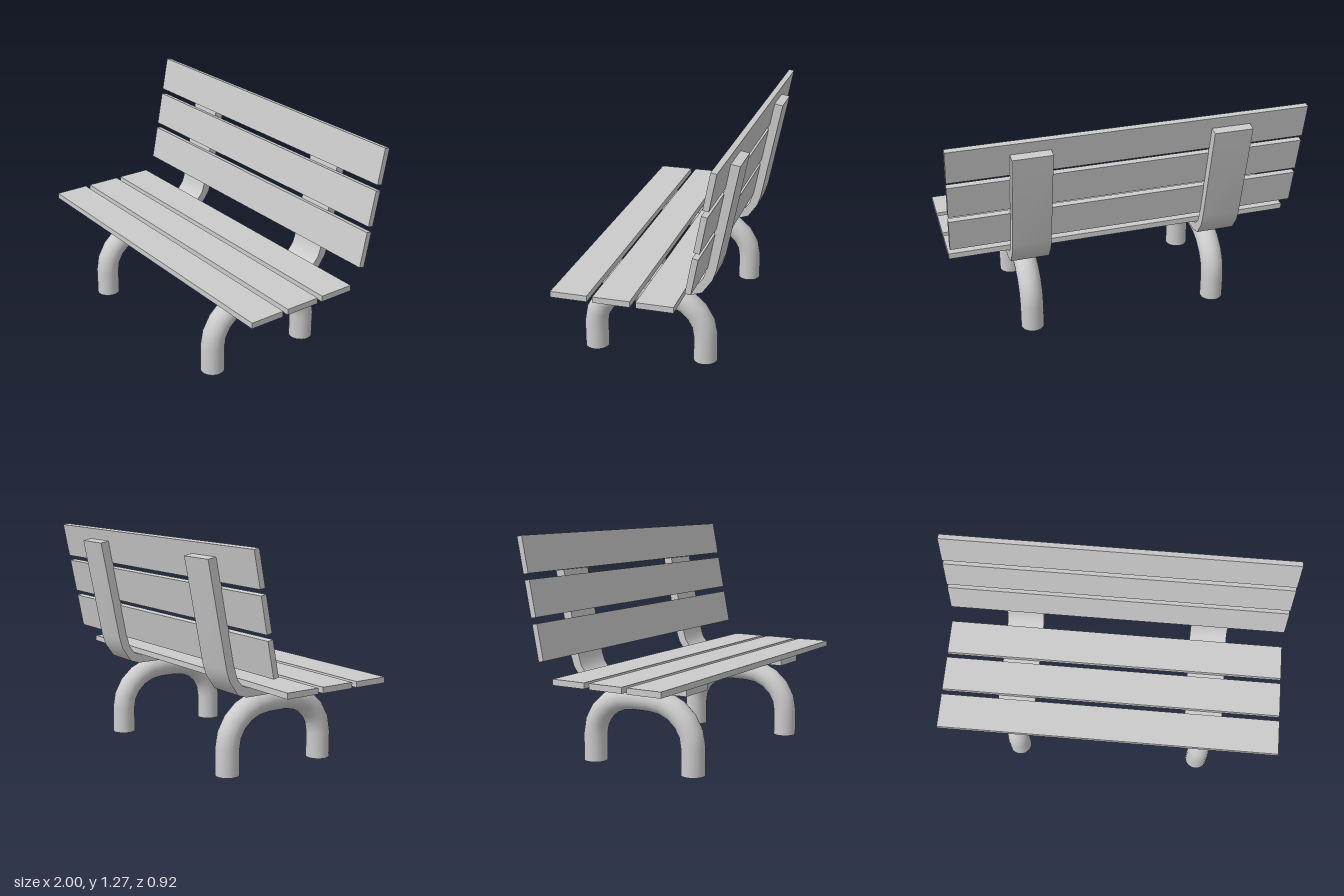
import * as THREE from 'three';
import { toCreasedNormals } from 'three/addons/utils/BufferGeometryUtils.js';

const LEAN = 0.193; // backward tilt of the backrest
const SIDE_X = 0.555; // distance of the supports from the centre
const TUBE_R = 0.067;
const material = new THREE.MeshStandardMaterial({ color: 0xcccccc });

// Path through straight segments, with rings placed exactly on its points
class Polyline extends THREE.Curve {
  constructor(points) {
    super();
    this.points = points;
  }
  getPoint(t) {
    const p = this.points;
    const f = t * (p.length - 1);
    const i = Math.min(Math.floor(f), p.length - 2);
    return p[i].clone().lerp(p[i + 1], f - i);
  }
  getPointAt(u) {
    return this.getPoint(u);
  }
  getTangentAt(u) {
    return this.getTangent(u);
  }
}

function addMesh(parent, name, geometry, x = 0, y = 0, z = 0) {
  const mesh = new THREE.Mesh(geometry, material);
  mesh.name = name;
  mesh.position.set(x, y, z);
  parent.add(mesh);
  return mesh;
}

// Arched leg: two uprights joined by quarter ellipses and a short flat top
function legGeometry() {
  const half = [[0.319, 0]];
  for (let i = 0; i <= 5; i++) {
    const a = (i / 5) * Math.PI / 2;
    half.push([0.057 + 0.262 * Math.cos(a), 0.15 + 0.233 * Math.sin(a)]);
  }
  const mirrored = half.map(([z, y]) => [-z, y]).reverse();
  const points = [...half, ...mirrored].map(([z, y]) => new THREE.Vector3(0, y, z));
  return new THREE.TubeGeometry(new Polyline(points), points.length - 1, TUBE_R, 24);
}

// Flat bar running under the seat and bending up behind the back
function bracketGeometry() {
  const profile = [
    [0.405, 0.446], [-0.211, 0.446], [-0.264, 0.463], [-0.321, 0.544], [-0.341, 0.605],
    [-0.459, 1.194], [-0.405, 1.204],
    [-0.285, 0.596], [-0.27, 0.55], [-0.24, 0.513], [-0.209, 0.501], [0.405, 0.501],
  ];
  const shape = new THREE.Shape(profile.map(([z, y]) => new THREE.Vector2(z, y)));
  const geometry = new THREE.ExtrudeGeometry(shape, { depth: 0.22, bevelEnabled: false });
  geometry.translate(0, 0, -0.11).rotateY(-Math.PI / 2);
  return toCreasedNormals(geometry, 0.7);
}

export function createModel() {
  const bench = new THREE.Group();
  bench.name = 'bench';

  // Supports on both sides
  const leg = legGeometry();
  const bracket = bracketGeometry();
  const cap = new THREE.CircleGeometry(TUBE_R, 24).rotateX(Math.PI / 2);
  for (const side of [-1, 1]) {
    const support = new THREE.Group();
    support.name = side > 0 ? 'leftSupport' : 'rightSupport';
    support.position.x = side * SIDE_X;
    addMesh(support, 'archedLeg', leg, 0, 0, 0.062);
    for (const z of [0.381, -0.257]) addMesh(support, 'legEnd', cap, 0, 0, z);
    addMesh(support, 'bracket', bracket);
    bench.add(support);
  }

  // Three seat slats and three leaning back slats
  const seatSlat = new THREE.BoxGeometry(2, 0.033, 0.202);
  const backSlat = new THREE.BoxGeometry(2, 0.2, 0.032);
  for (let i = 0; i < 3; i++) {
    addMesh(bench, 'seatSlat', seatSlat, 0, 0.518, 0.362 - i * 0.233);
    const slat = addMesh(bench, 'backSlat', backSlat, 0, 0.717 + i * 0.228, -0.298 - i * 0.0447);
    slat.rotation.x = -LEAN;
  }
  return bench;
}
